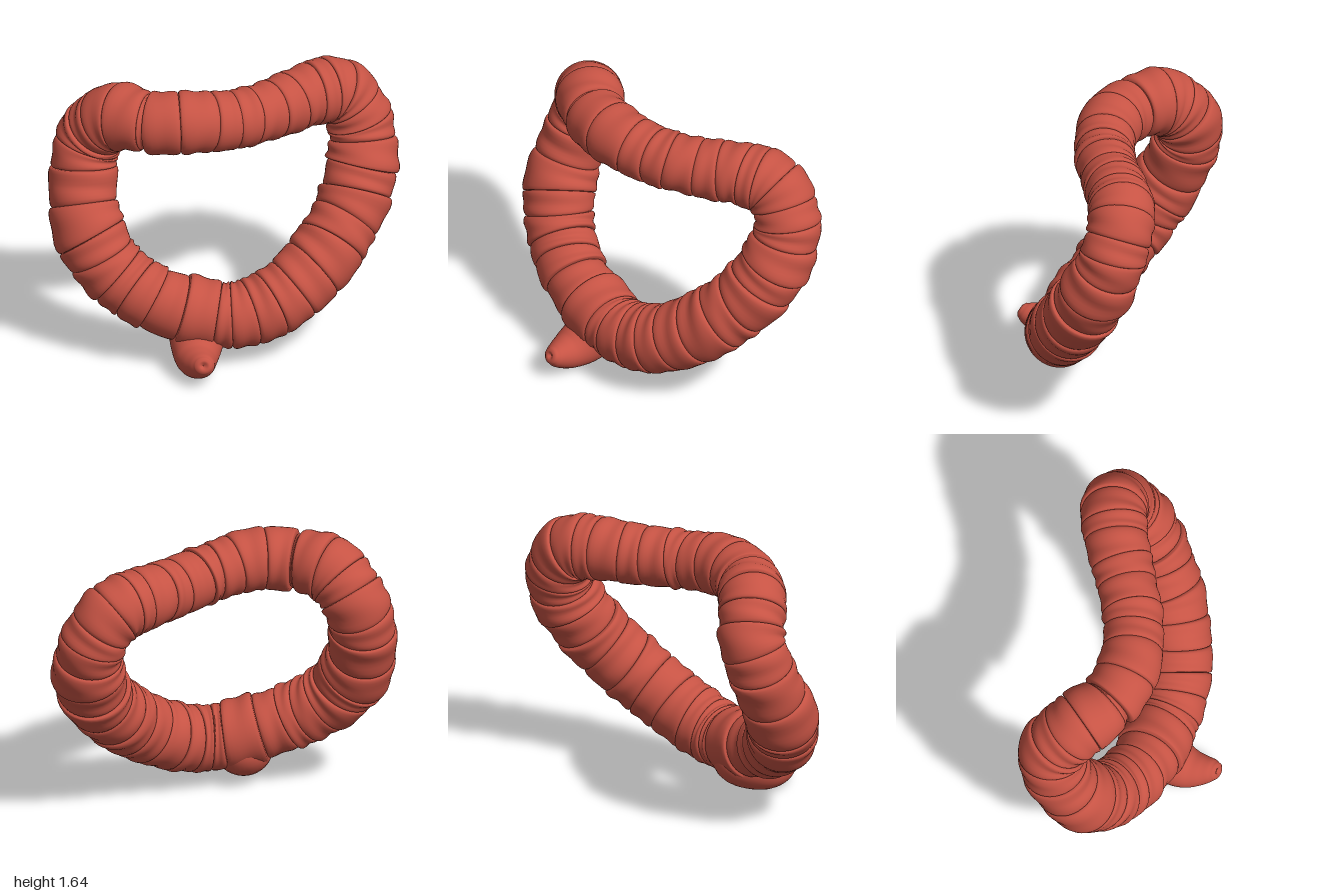
import * as THREE from 'three';

// Centre line of the loop: x, y, z, radius
const PATH = [
  [-0.615, 1.43, -0.03, 0.19], [-0.4, 1.45, 0.075, 0.178], [-0.2, 1.46, 0.085, 0.178],
  [0.05, 1.43, 0.0, 0.17], [0.3, 1.415, -0.17, 0.172], [0.5, 1.42, -0.325, 0.182],
  [0.65, 1.39, -0.41, 0.19], [0.765, 1.22, -0.42, 0.19], [0.79, 1.0, -0.335, 0.2],
  [0.73, 0.78, -0.195, 0.205], [0.58, 0.56, -0.025, 0.205], [0.35, 0.37, 0.135, 0.198],
  [0.1, 0.285, 0.215, 0.192], [-0.13, 0.31, 0.235, 0.19], [-0.4, 0.395, 0.225, 0.19],
  [-0.64, 0.55, 0.155, 0.197], [-0.775, 0.77, 0.055, 0.207], [-0.8, 1.0, -0.06, 0.19],
  [-0.76, 1.25, -0.13, 0.19],
];
// Start of each band in path steps, and its relative size
const BANDS = [
  [0.1, 1.02], [0.79, 0.86], [0.9, 1.02], [1.75, 1.02], [2.5, 1], [3, 1], [3.35, 0.99], [3.9, 1.01], [4.4, 1],
  [5, 1.02], [5.5, 1], [6, 1.01], [6.6, 0.99], [7.1, 0.98], [7.55, 1.04], [8.2, 0.99], [8.75, 1.01],
  [9.3, 0.99], [9.8, 1.01], [10.35, 1], [10.8, 1], [11.35, 1.01], [11.8, 1], [12.25, 0.98], [12.6, 1.06],
  [13.4, 0.98], [14, 1.01], [14.4, 0.99], [14.8, 1.01], [15.3, 1], [15.75, 1.02], [16.5, 1.01], [17.3, 0.99],
  [17.75, 1.01], [18.3, 0.99], [18.7, 1.02],
];
const SIDES = 40;
const STEPS = 32;

const vec = (p) => new THREE.Vector3(p[0], p[1], p[2]);
const loop = new THREE.CatmullRomCurve3(PATH.map(vec), true);
loop.arcLengthDivisions = PATH.length * STEPS;
const arcOf = (s) => loop.getLengths()[Math.round(s * STEPS)] / loop.getLength();
const LOOP_NORMAL = new THREE.Vector3(0, 0.5, 0.85).normalize();

let seed = 11;
const rand = () => {
  seed = (seed * 16807) % 2147483647;
  return seed / 2147483647;
};
const vary = (amount) => (rand() * 2 - 1) * amount;

// Point, axes and radius of the loop at arc position u
function frameAt(u) {
  const w = ((u % 1) + 1) % 1;
  const s = loop.getUtoTmapping(w) * PATH.length;
  const i = Math.floor(s) % PATH.length;
  const radius = THREE.MathUtils.lerp(PATH[i][3], PATH[(i + 1) % PATH.length][3], s - Math.floor(s));
  const t = loop.getTangentAt(w);
  const a = new THREE.Vector3().crossVectors(LOOP_NORMAL, t).normalize();
  const b = new THREE.Vector3().crossVectors(t, a);
  return { p: loop.getPointAt(w), t, a, b, radius };
}

// Skin a list of rings; each ring is a function of angle
function skin(rings) {
  const pos = [];
  const index = [];
  rings.forEach((ring, i) => {
    for (let j = 0; j < SIDES; j++) {
      pos.push(...ring((j / SIDES) * Math.PI * 2).toArray());
      if (i === 0) continue;
      const k = (j + 1) % SIDES;
      const r0 = (i - 1) * SIDES;
      const r1 = i * SIDES;
      index.push(r0 + j, r0 + k, r1 + j, r0 + k, r1 + k, r1 + j);
    }
  });
  const g = new THREE.BufferGeometry();
  g.setAttribute('position', new THREE.Float32BufferAttribute(pos, 3));
  g.setIndex(index);
  g.computeVertexNormals();
  return g;
}

// One puffed band with soft folds; its end rings are the grooves shared with its neighbours
function bandGeometry(from, to, size) {
  const groove = 0.9;
  const profile = [[0.012, 0.95], [0.05, 0.985], [0.13, 1.005], [0.25, 1.005], [0.38, 0.992], [0.5, 0.985],
    [0.62, 0.992], [0.75, 1.005], [0.87, 1.005], [0.95, 0.985], [0.988, 0.95]];
  const flare = vary(0.1);
  const phase = rand() * 6.28;
  const fold = 0.015 + rand() * 0.02;
  const ringAt = (s, radiusAt) => {
    const f = frameAt(THREE.MathUtils.lerp(from.u, to.u, s));
    return (ang) => {
      const r = f.radius * radiusAt(ang);
      const shift = THREE.MathUtils.lerp(from.tiltAt(ang), to.tiltAt(ang), s) * f.radius;
      return f.p.clone().addScaledVector(f.a, Math.cos(ang) * r)
        .addScaledVector(f.b, Math.sin(ang) * r).addScaledVector(f.t, shift);
    };
  };
  const body = profile.map(([s, r]) => ringAt(s, (ang) => r * (size + flare * (s - 0.5)
    + fold * Math.sin(2 * ang + phase + s * 6) * Math.sin(s * Math.PI))));
  return skin([ringAt(0, () => groove), ...body, ringAt(1, () => groove)]);
}

// Snout: grows out of the underside, bends forward and up to a blunt, dimpled tip
function snoutGeometry() {
  const stations = [[-0.13, 0.3, 0.16, 0.12], [-0.14, 0.23, 0.2, 0.155], [-0.15, 0.17, 0.285, 0.148],
    [-0.155, 0.128, 0.37, 0.128], [-0.155, 0.118, 0.45, 0.108], [-0.14, 0.132, 0.52, 0.086],
    [-0.122, 0.152, 0.575, 0.064], [-0.115, 0.165, 0.605, 0.045]];
  const line = new THREE.CatmullRomCurve3(stations.map(vec));
  const radii = new THREE.SplineCurve(stations.map((s, i) => new THREE.Vector2(i, s[3])));
  const side = new THREE.Vector3(1, 0, 0);
  const ringAt = (t, radius, shift) => {
    const dir = line.getTangent(t);
    const up = new THREE.Vector3().crossVectors(dir, side).normalize();
    return (ang) => line.getPoint(t).addScaledVector(dir, shift)
      .addScaledVector(side, Math.cos(ang) * radius * 1.08)
      .addScaledVector(up, Math.sin(ang) * radius);
  };
  const rings = [];
  for (let k = 0; k <= 28; k++) rings.push(ringAt(k / 28, radii.getPoint(k / 28).y, 0));
  rings.push(ringAt(1, 0.03, 0.01), ringAt(1, 0.018, 0.004), ringAt(1, 0.001, -0.012));
  return skin(rings);
}

export function createModel() {
  const group = new THREE.Group();
  const red = new THREE.MeshStandardMaterial({ color: 0xc65344, side: THREE.DoubleSide });
  red.name = 'brick red';
  const add = (name, geometry) => {
    const mesh = new THREE.Mesh(geometry, red);
    mesh.name = name;
    group.add(mesh);
  };

  // Tilted grooves between the bands
  const edges = BANDS.map(([start]) => {
    const tilt = vary(0.12);
    const phase = rand() * 6.28;
    return { u: arcOf(start), tiltAt: (ang) => tilt * Math.cos(ang + phase) };
  });
  // The narrow neck keeps its two grooves parallel
  edges[2].tiltAt = edges[1].tiltAt;
  edges.push({ u: edges[0].u + 1, tiltAt: edges[0].tiltAt });

  // Bands around the loop
  BANDS.forEach(([, size], i) => add(`band${i + 1}`, bandGeometry(edges[i], edges[i + 1], size)));

  add('snout', snoutGeometry());
  return group;
}
